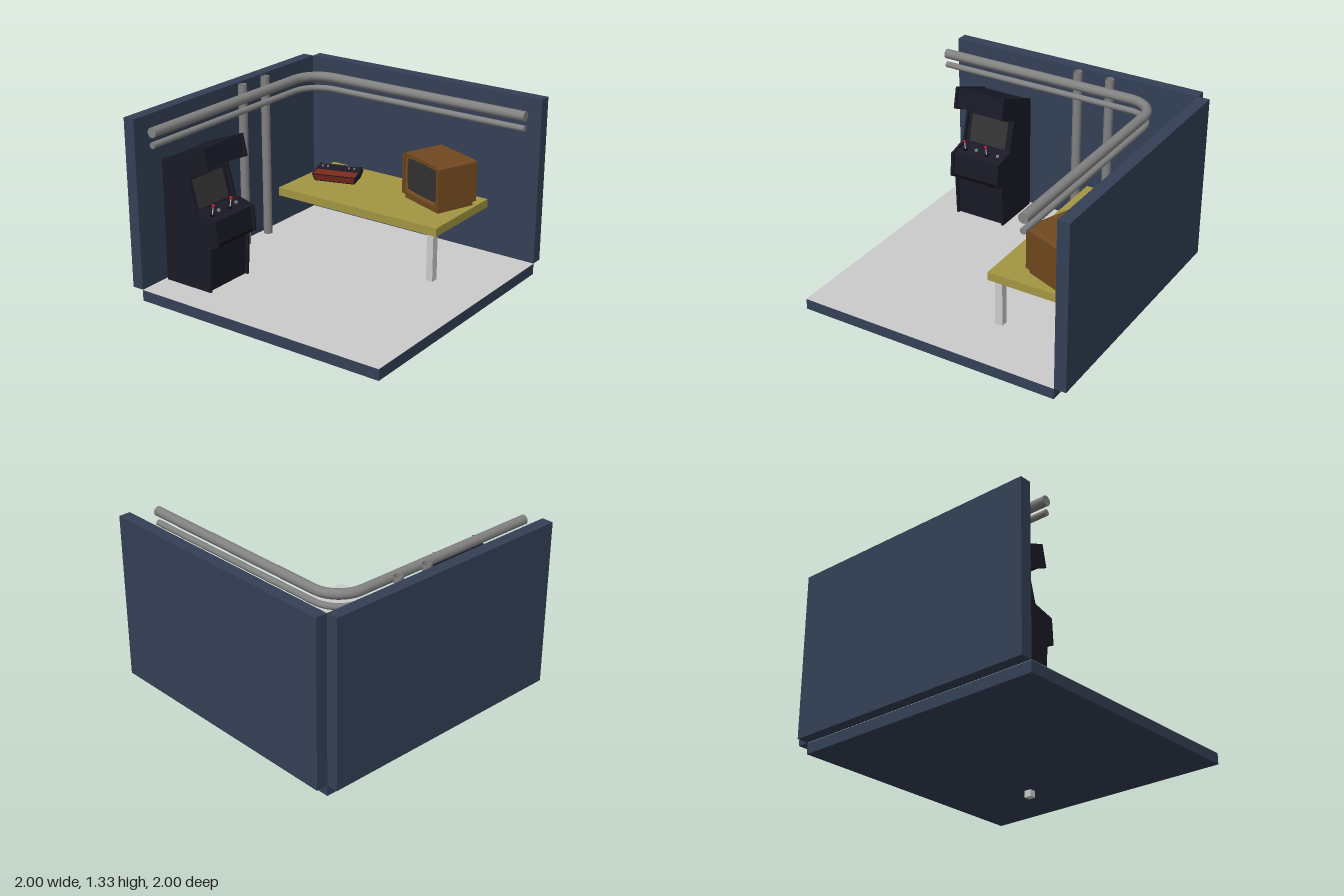
import * as THREE from 'three';
import { ConvexGeometry } from 'three/addons/geometries/ConvexGeometry.js';

const mat = (color, extra = {}) => new THREE.MeshStandardMaterial({ color, ...extra });
const NAVY = mat(0x344056), GREY = mat(0xcccccc), YELLOW = mat(0xa39642), BLACK = mat(0x1a1a27);
const EDGE = mat(0x0b0b10), PIPE = mat(0x828282, { side: THREE.DoubleSide }), WOOD = mat(0x70481f);
const RIM = mat(0x7e5426), SCREEN = mat(0x333333), RED = mat(0x7c2a1c), BALL = mat(0xc01c2c);

function add(parent, name, geometry, material, x = 0, y = 0, z = 0) {
  const m = new THREE.Mesh(geometry, material);
  m.name = name;
  m.position.set(x, y, z);
  parent.add(m);
  return m;
}

// Box from its minimum and maximum corners
function block(parent, name, material, [x0, y0, z0], [x1, y1, z1]) {
  return add(parent, name, new THREE.BoxGeometry(x1 - x0, y1 - y0, z1 - z0), material,
    (x0 + x1) / 2, (y0 + y1) / 2, (z0 + z1) / 2);
}

const shapeOf = pts => new THREE.Shape(pts.map(p => new THREE.Vector2(...p)));
const extrude = (shape, depth) =>
  new THREE.ExtrudeGeometry(shape, { depth, bevelEnabled: false, curveSegments: 6 });

// Solid spanned by mirrored pairs of corners: [half width, y, z]
const hull = pts => new ConvexGeometry(pts.flatMap(([x, y, z]) =>
  [new THREE.Vector3(x, y, z), new THREE.Vector3(-x, y, z)]));

function buildRoom(root) {
  const room = new THREE.Group();
  room.name = 'room';
  root.add(room);
  block(room, 'floorSlab', NAVY, [-0.915, 0.05, -0.915], [1, 0.128, 1]);
  block(room, 'floorSurface', GREY, [-0.915, 0.128, -0.915], [1, 0.13, 1]);
  block(room, 'leftWall', NAVY, [-1, 0.13, -0.915], [-0.915, 1.325, 1]);
  block(room, 'backWall', NAVY, [-0.915, 0.13, -1], [1, 1.325, -0.915]);
}

function buildPipes(root) {
  const pipes = new THREE.Group();
  pipes.name = 'pipes';
  root.add(pipes);
  // Horizontal pipes bending round the corner
  const px = -0.76, pz = -0.69, bend = 0.2;
  for (const [y, r] of [[1.265, 0.035], [1.18, 0.022]]) {
    const v = (x, z) => new THREE.Vector3(x, y, z);
    const pts = [v(1, pz)];
    for (let i = 0; i <= 8; i++) {
      const a = i / 8 * Math.PI / 2;
      pts.push(v(px + bend - bend * Math.sin(a), pz + bend - bend * Math.cos(a)));
    }
    pts.push(v(px, 1));
    const path = new THREE.CurvePath();
    for (let i = 1; i < pts.length; i++) path.add(new THREE.LineCurve3(pts[i - 1], pts[i]));
    add(pipes, 'wallPipe', new THREE.TubeGeometry(path, 90, r, 10), PIPE);
    add(pipes, 'pipeEnd', new THREE.CircleGeometry(r, 10), PIPE, px, y, 1);
    add(pipes, 'pipeEnd', new THREE.CircleGeometry(r, 10), PIPE, 1, y, pz).rotation.y = Math.PI / 2;
  }
  // Upright pipes against the left wall
  for (const z of [-0.028, -0.277]) {
    add(pipes, 'uprightPipe', new THREE.CylinderGeometry(0.033, 0.033, 1.195, 10, 1, true), PIPE, -0.861, 0.7275, z);
  }
}

function buildTable(root) {
  const table = new THREE.Group();
  table.name = 'table';
  root.add(table);
  block(table, 'tableTop', YELLOW, [-0.7, 0.48, -0.885], [0.63, 0.54, -0.21]);
  block(table, 'tableLeg', GREY, [0.54, 0, -0.295], [0.59, 0.48, -0.24]);
}

function buildTelevision(root) {
  const tv = new THREE.Group();
  tv.name = 'television';
  tv.position.set(0.373, 0.54, -0.65);
  tv.rotation.y = -0.37;
  root.add(tv);
  const w = 0.207, d = 0.167, b = 0.035, t = 0.34;
  block(tv, 'base', WOOD, [-0.19, 0, -0.15], [0.19, b, 0.15]);
  // Cabinet with chamfered upper edges
  add(tv, 'cabinet', hull([[w, b, -d], [w, b, d - 0.04], [w, t - 0.018, -d], [w, t - 0.018, d - 0.04],
    [w - 0.03, t, -d + 0.02], [w - 0.03, t, d - 0.04]]), WOOD);
  // Front frame with a bulging screen opening
  const frame = shapeOf([[-w, b], [w, b], [w, t - 0.018], [w - 0.03, t], [-w + 0.03, t], [-w, t - 0.018]]);
  const opening = (sx, y0, y1) => {
    const s = new THREE.Shape(), m = (y0 + y1) / 2, e = 0.008;
    s.moveTo(-sx, y0 + e);
    s.quadraticCurveTo(0, y0 - e, sx, y0 + e);
    s.quadraticCurveTo(sx + 2 * e, m, sx, y1 - e);
    s.quadraticCurveTo(0, y1 + e, -sx, y1 - e);
    s.quadraticCurveTo(-sx - 2 * e, m, -sx, y0 + e);
    return s;
  };
  frame.holes.push(opening(0.178, 0.05, 0.322));
  add(tv, 'frontFrame', extrude(frame, 0.04), WOOD, 0, 0, d - 0.04);
  const rim = opening(0.178, 0.05, 0.322);
  rim.holes.push(opening(0.166, 0.062, 0.31));
  add(tv, 'screenRim', extrude(rim, 0.028), RIM, 0, 0, d - 0.04);
  add(tv, 'screen', extrude(opening(0.166, 0.062, 0.31), 0.018), SCREEN, 0, 0, d - 0.04);
}

function buildConsole(root) {
  const unit = new THREE.Group();
  unit.name = 'gameConsole';
  unit.position.set(-0.46, 0.54, -0.597);
  unit.rotation.y = 0.307;
  root.add(unit);
  // Flared casing, wider at the top
  add(unit, 'casing', hull([[0.15, 0, -0.08], [0.15, 0, 0.075], [0.168, 0.055, -0.09],
    [0.168, 0.055, 0.09], [0.168, 0.062, 0], [0.168, 0.062, -0.09]]), BLACK);
  add(unit, 'redFront', hull([[0.143, 0.008, 0.07], [0.143, 0.008, 0.0805],
    [0.157, 0.05, 0.08], [0.157, 0.05, 0.0915]]), RED);
  add(unit, 'redTop', hull([[0.157, 0.05, 0.084], [0.157, 0.059, 0.084], [0.157, 0.055, 0.004], [0.157, 0.065, 0.004]]), RED);
  add(unit, 'rearPanel', hull([[0.168, 0.05, -0.002], [0.168, 0.05, -0.09], [0.168, 0.066, -0.002],
    [0.16, 0.08, -0.06], [0.16, 0.08, -0.088]]), BLACK);
  block(unit, 'switchStrip', SCREEN, [-0.14, 0.072, -0.08], [0.14, 0.083, -0.066]);
  for (let i = 0; i < 4; i++) {
    const x = (i < 2 ? -0.13 : 0.07) + (i % 2) * 0.04;
    block(unit, 'switch', PIPE, [x, 0.065, -0.04], [x + 0.012, 0.084, -0.03]);
  }
}

function buildArcade(root) {
  const arcade = new THREE.Group();
  arcade.name = 'arcadeCabinet';
  root.add(arcade);
  const side = shapeOf([[-0.895, 0.13], [-0.51, 0.13], [-0.495, 0.455], [-0.435, 0.47], [-0.447, 0.65],
    [-0.605, 0.69], [-0.667, 0.915], [-0.495, 0.99], [-0.53, 1.145], [-0.895, 1.003]]);
  const body = shapeOf([[-0.893, 0.13], [-0.53, 0.13], [-0.515, 0.47], [-0.455, 0.485], [-0.465, 0.642],
    [-0.625, 0.675], [-0.685, 0.908], [-0.515, 0.995], [-0.543, 1.132], [-0.893, 0.995]]);
  for (const z of [0.373, 0.757]) add(arcade, 'sidePanel', extrude(side, 0.018), BLACK, 0, 0, z);
  add(arcade, 'body', extrude(body, 0.366), BLACK, 0, 0, 0.391);
  block(arcade, 'lowerTrim', EDGE, [-0.53, 0.462, 0.391], [-0.452, 0.484, 0.757]);
  // Sloping screen
  add(arcade, 'screen', new THREE.BoxGeometry(0.012, 0.205, 0.3), SCREEN, -0.656, 0.785, 0.578).rotation.z = 0.252;
  // Joysticks and buttons on the control panel
  for (const z of [0.705, 0.525]) {
    add(arcade, 'joystickBase', new THREE.CylinderGeometry(0.016, 0.018, 0.012, 10), EDGE, -0.535, 0.66, z);
    add(arcade, 'joystickStem', new THREE.CylinderGeometry(0.004, 0.004, 0.07, 8), GREY, -0.528, 0.693, z).rotation.z = -0.15;
    add(arcade, 'joystickBall', new THREE.SphereGeometry(0.012, 10, 8), BALL, -0.522, 0.73, z);
    add(arcade, 'button', new THREE.CylinderGeometry(0.012, 0.012, 0.016, 10), PIPE, -0.55, 0.665, z - 0.083).rotation.z = -0.2;
  }
}

export function createModel() {
  const root = new THREE.Group();
  root.name = 'gameRoom';
  buildRoom(root);
  buildPipes(root);
  buildTable(root);
  buildTelevision(root);
  buildConsole(root);
  buildArcade(root);
  return root;
}
